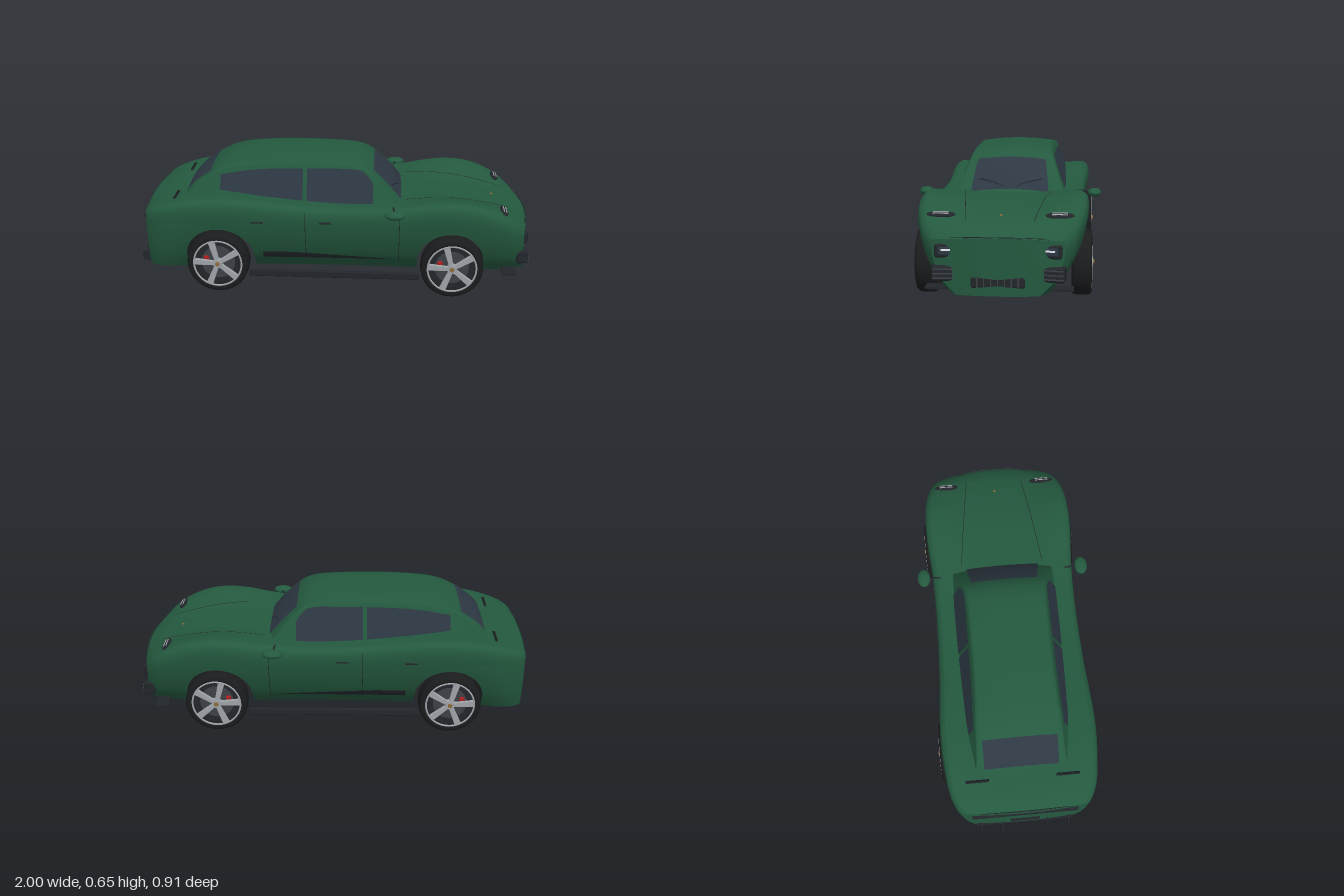
import * as THREE from 'three';
import { RoundedBoxGeometry } from 'three/addons/geometries/RoundedBoxGeometry.js';

const paint = (color) => new THREE.MeshStandardMaterial({ color, side: THREE.DoubleSide });
const GREEN = paint(0x24593f), DARK = paint(0x22262a), TYRE = paint(0x1b1c1e), GLASS = paint(0x2d3843);
const METAL = paint(0x9fa3a8), DISC = paint(0x3c4146), RED = paint(0xb02020), BRONZE = paint(0x8a6a3a), WHITE = paint(0xe8eef2);

// Smooth curve through [x, value] knots
function spline(p) {
  const n = p.length;
  const m = p.map((_, i) => {
    const a = p[Math.max(i - 1, 0)], b = p[Math.min(i + 1, n - 1)];
    return (b[1] - a[1]) / (b[0] - a[0]);
  });
  return (x) => {
    if (x <= p[0][0]) return p[0][1];
    if (x >= p[n - 1][0]) return p[n - 1][1];
    let i = 0;
    while (x > p[i + 1][0]) i++;
    const h = p[i + 1][0] - p[i][0], t = (x - p[i][0]) / h, t2 = t * t, t3 = t2 * t;
    return (2 * t3 - 3 * t2 + 1) * p[i][1] + (t3 - 2 * t2 + t) * h * m[i]
      + (3 * t2 - 2 * t3) * p[i + 1][1] + (t3 - t2) * h * m[i + 1];
  };
}

// Body curves along x: half width, shoulder height, centre height
const width = spline([[-.955, .31], [-.93, .335], [-.85, .365], [-.7, .385], [-.55, .392], [-.4, .386], [-.2, .375], [0, .37],
  [.2, .37], [.36, .376], [.5, .388], [.6, .392], [.7, .39], [.8, .382], [.9, .362], [.96, .335], [.995, .295]]);
const shoulder = spline([[-.955, .40], [-.93, .42], [-.85, .448], [-.7, .482], [-.55, .492], [-.4, .485], [-.2, .463], [0, .45],
  [.2, .45], [.36, .463], [.5, .485], [.6, .492], [.7, .484], [.8, .46], [.9, .42], [.96, .375], [.995, .335]]);
const centre = spline([[-.955, .41], [-.85, .446], [-.6, .47], [-.3, .465], [.1, .45], [.4, .45], [.6, .447], [.8, .42],
  [.9, .396], [.96, .368], [.995, .345]]);
const flank = spline([[0, .62], [.1, .71], [.25, .82], [.5, .93], [.75, .992], [.88, 1], [.96, .975], [1, .92]]);
const FLOOR = .09, AXLE = .163, ARCH = .172, WHEELS = [-.57, .605];

const bend = (x, z) => x - .35 * z * z * THREE.MathUtils.smoothstep(x, .65, 1)
  + .1 * z * z * THREE.MathUtils.smoothstep(-x, .8, .95);
function sideZ(x, y) {
  const f = flank((y - FLOOR) / (shoulder(x) - FLOOR));
  const tail = THREE.MathUtils.smoothstep(-x, .55, .95) * .55;
  return width(x) * (f + (1 - f) * tail * (y < .35 ? 1 : 0.2));
}
const topY = (x, z) => {
  const k = Math.min(Math.abs(z) / (.92 * width(x)), 1);
  return centre(x) + (shoulder(x) - centre(x)) * THREE.MathUtils.smoothstep(k, .25, 1);
};

// Cabin curves
const roof = spline([[-.78, .44], [-.74, .495], [-.7, .535], [-.6, .602], [-.5, .638], [-.35, .655], [-.2, .66], [0, .656],
  [.1, .647], [.16, .63], [.21, .597], [.28, .53], [.34, .463], [.37, .425]]);
const cabinZ = (x, y) => (.267 - .07 * (y - .45) / .195) * (1 - .14 * THREE.MathUtils.smoothstep(-x, .5, .8));
const roofY = (x, z) => roof(x) - .016 * (z / .2) ** 2;

// Grid surface from rows of points
function surface(rows) {
  const n = rows[0].length, idx = [];
  for (let i = 0; i < rows.length - 1; i++) for (let j = 0; j < n - 1; j++) {
    const a = i * n + j, b = a + n;
    idx.push(a, a + 1, b, b, a + 1, b + 1);
  }
  const g = new THREE.BufferGeometry();
  g.setAttribute('position', new THREE.Float32BufferAttribute(rows.flat(2), 3));
  g.setIndex(idx);
  g.computeVertexNormals();
  return g;
}
const range = (a, b, n) => Array.from({ length: n + 1 }, (_, i) => a + (b - a) * i / n);
const grid = (us, vs, fn) => surface(us.map((u) => vs.map((v) => fn(u, v))));

export function createModel() {
  const car = new THREE.Group();
  car.name = 'car';
  const add = (name, geo, mat, x = 0, y = 0, z = 0, parent = car) => {
    const m = new THREE.Mesh(geo, mat);
    m.name = name;
    m.position.set(x, y, z);
    parent.add(m);
    return m;
  };
  const tube = (name, pts, r, mat = DARK) => add(name, new THREE.TubeGeometry(
    new THREE.CatmullRomCurve3(pts.map((p) => new THREE.Vector3(...p))), 24, r, 6), mat);

  // Stations along the body, split into floor sections and wheel arches
  const flat = (a, b, n) => range(a, b, n).map((x) => [x, FLOOR]);
  const arch = (c) => [[c - ARCH, FLOOR], ...range(Math.PI, 0, 24).map((t) =>
    [c + ARCH * Math.cos(t), AXLE + ARCH * Math.sin(t)]), [c + ARCH, FLOOR]];
  const [rear, front] = WHEELS;
  const sections = [flat(-.955, rear - ARCH, 14), arch(rear), flat(rear + ARCH, front - ARCH, 30),
    arch(front), flat(front + ARCH, .995, 18)];

  // Shell: one wrap from the right sill over the top to the left sill
  add('bodyShell', surface(sections.flat().map(([x, yb]) => range(-1, 1, 80).map((v) => {
    const a = Math.abs(v), s = Math.sign(v), S = shoulder(x);
    let y, z;
    if (a < .4) {
      z = s * .92 * width(x) * a / .4;
      y = topY(x, z);
    } else {
      y = yb + (S - yb) * (1 - ((a - .4) / .6) ** 1.4);
      z = s * sideZ(x, y);
    }
    return [bend(x, z), y, z];
  }))), GREEN);
  sections.forEach((st, i) => add(i % 2 ? 'wheelArch' : 'underside', surface(st.map(([x, y]) =>
    range(1, -1, 12).map((v) => { const z = v * sideZ(x, y); return [bend(x, z), y, z]; }))), i % 2 ? DARK : GREEN));
  for (const [name, x, d] of [['nosePanel', .995, 1], ['tailPanel', -.955, -1]])
    add(name, grid(range(0, 1, 16), range(d, -d, 20), (t, v) => {
      const y0 = FLOOR + (shoulder(x) - FLOOR) * t, z = v * sideZ(x, y0);
      return [bend(x, z) + d * .005 * (1 - v * v), y0 + t ** 8 * (topY(x, z) - shoulder(x)), z];
    }), GREEN);

  // Cabin
  add('cabin', grid(range(-.78, .37, 70), range(-1, 1, 60), (x, v) => {
    const a = Math.abs(v), s = Math.sign(v), zr = cabinZ(x, roof(x) - .014);
    const z = a < .6 ? zr * a / .6 : 0;
    if (a < .6) return [x, roofY(x, z), s * z];
    const y = THREE.MathUtils.lerp(roofY(x, zr), Math.min(.41, roof(x) - .02), (a - .6) / .4);
    return [x, y, s * cabinZ(x, y)];
  }), GREEN);
  add('windscreen', grid(range(.2, .342, 12), range(-1, 1, 16), (x, v) => {
    const z = v * (.172 + .15 * (x - .2));
    return [x + .004, roofY(x, z) + .004, z];
  }), GLASS);
  add('rearWindow', grid(range(-.745, -.622, 12), range(-1, 1, 16), (x, v) =>
    [x - .004, roofY(x, v * .185) + .004, v * .185]), GLASS);
  const sill = spline([[-.57, .502], [-.4, .482], [-.2, .458], [0, .443], [.21, .432]]);
  const header = spline([[-.57, .575], [-.45, .596], [-.3, .608], [0, .613], [.14, .607], [.18, .578], [.21, .535]]);

  for (const s of [1, -1]) {
    // Side glass
    for (const [name, a, b] of [['rearSideWindow', -.57, -.15], ['frontSideWindow', -.13, .205]])
      add(name, grid(range(a, b, 20), range(0, 1, 6), (x, t) => {
        const y = THREE.MathUtils.lerp(sill(x), Math.min(header(x), roof(x) - .022), t);
        return [x, y, s * (cabinZ(x, y) + .004)];
      }), GLASS);

    // Flank trim, door seams, handles and side rail
    add('flankTrim', grid(range(-.35, .3, 20), range(0, 1, 4), (x, t) => {
      const y = .158 + t * .04 * (1 - Math.max(0, x + .2) / .55);
      return [x, y, s * (sideZ(x, y) + .004)];
    }), DARK);
    for (const x0 of [-.13, .34]) tube('doorSeam', range(.43, .14, 10).map((y) => [x0, y, s * sideZ(x0, y)]), .0015);
    for (const x of [-.37, -.03]) add('doorHandle', new RoundedBoxGeometry(.06, .008, .012, 2, .003), DARK, x, .38, s * sideZ(x, .38));
    add('sideRail', new RoundedBoxGeometry(.86, .036, .02, 2, .006), DARK, .015, .11, s * .385);
    add('noseCanard', new THREE.BoxGeometry(.07, .01, .13), DARK, .9, .105, s * .265);
    tube('bonnetSeam', range(.37, .9, 12).map((x) => {
      const z = s * (.215 - .12 * (x - .37));
      return [bend(x, z), topY(x, z), z];
    }), .0015);

    // Door mirror
    add('mirror', new THREE.SphereGeometry(1, 20, 14), GREEN, .315, .448, s * .42).scale.set(.05, .021, .034);
    tube('mirrorStalk', [[.3, .43, s * .27], [.308, .455, s * .34], [.315, .448, s * .4]], .005);

    // Upper lamp: oval lens with light strips, following the wing
    const lamp = new THREE.Group();
    lamp.name = 'upperLamp';
    lamp.position.set(.875 - .015, topY(.885, .265) + .003, s * .265);
    lamp.rotation.z = -.42;
    car.add(lamp);
    add('lampLens', new THREE.SphereGeometry(1, 20, 12), DARK, 0, 0, 0, lamp).scale.set(.022, .01, .066);
    for (const dx of [-.006, .007]) add('lampStrip', new THREE.BoxGeometry(.005, .004, .07), METAL, dx, .009, 0, lamp);

    // Square lamp and side intake on the nose
    const face = (name, y, z, h, w, mat, x) => {
      const m = add(name, new RoundedBoxGeometry(.06, h, w, 3, .012), mat, x, y, s * z);
      m.rotation.y = s * .16;
      return m;
    };
    face('squareLamp', .285, .228, .062, .108, DARK, .952);
    face('squareLampInset', .285, .228, .046, .085, GLASS, .955);
    add('squareLampBar', new THREE.BoxGeometry(.008, .008, .042), WHITE, .984, .29, s * .228).rotation.y = s * .16;
    face('sideIntake', .185, .217, .07, .156, DARK, .955);
    for (const y of [.165, .185, .205])
      add('intakeSlat', new THREE.BoxGeometry(.006, .006, .14), DISC, .984, y, s * .217).rotation.y = s * .16;

    // Wiper and rear deck vent
    tube('wiper', [[.335, .474, s * .025], [.315, .496, s * .09], [.3, .508, s * .155]], .003);
    const vent = add('deckVent', new THREE.CylinderGeometry(.012, .012, .115, 3), DARK, -.8, topY(-.8, .225) - .001, s * .225);
    vent.rotation.x = Math.PI / 2;
    vent.scale.x = .7;
  }

  // Centre grille, badge and bonnet shut line
  add('centreGrille', new RoundedBoxGeometry(.05, .052, .24, 3, .012), DARK, .975, .15, 0);
  for (const z of range(-.09, .09, 6)) add('grilleBar', new THREE.BoxGeometry(.004, .042, .005), DISC, 1, .15, z);
  add('badge', new THREE.SphereGeometry(.007, 10, 8), BRONZE, .82, .416, 0);
  tube('bonnetFrontSeam', range(-.21, .21, 12).map((z) => [bend(.99, z) + .002, topY(.99, z), z]), .0015);

  // Tail: light bar, plate and diffuser fins
  add('tailLightBar', new RoundedBoxGeometry(.022, .024, .53, 2, .008), DARK, -.955, .355, 0);
  add('tailPlate', new RoundedBoxGeometry(.016, .05, .15, 2, .006), DARK, -.958, .205, 0);
  add('diffuser', new THREE.BoxGeometry(.04, .03, .5), DARK, -.942, .108, 0);
  for (const z of [-.225, -.115, .115, .225]) add('diffuserFin', new THREE.BoxGeometry(.065, .05, .008), DARK, -.967, .117, z);

  // Wheels
  const tyre = new THREE.LatheGeometry([[.118, .04], [.128, .047], [.146, .046], [.155, .034], [.157, 0], [.155, -.034],
    [.146, -.047], [.118, -.047]].map((p) => new THREE.Vector2(...p)), 48);
  const spoke = new THREE.Shape([[-.009, .012], [-.015, .122], [.015, .122], [.009, .012]].map((p) => new THREE.Vector2(...p)));
  const spokeGeo = new THREE.ExtrudeGeometry(spoke, { depth: .012, bevelEnabled: true, bevelSize: .002, bevelThickness: .002, bevelSegments: 1 });
  for (const x of WHEELS) for (const s of [1, -1]) {
    const w = new THREE.Group();
    w.name = 'wheel';
    w.position.set(x, AXLE, s * .362);
    w.scale.z = s;
    car.add(w);
    add('tyre', tyre, TYRE, 0, 0, 0, w).rotation.x = Math.PI / 2;
    add('rimBarrel', new THREE.CylinderGeometry(.12, .12, .06, 40), DARK, 0, 0, -.01, w).rotation.x = Math.PI / 2;
    add('brakeDisc', new THREE.CylinderGeometry(.085, .085, .008, 36), DISC, 0, 0, .022, w).rotation.x = Math.PI / 2;
    add('rimLip', new THREE.TorusGeometry(.121, .005, 8, 48), METAL, 0, 0, .044, w);
    add('brakeCaliper', new RoundedBoxGeometry(.026, .05, .014, 2, .005), RED, -.06, .01, .026, w);
    for (let i = 0; i < 5; i++) add('spoke', spokeGeo, METAL, 0, 0, .034, w).rotation.z = i * Math.PI * 2 / 5 + .25;
    add('hub', new THREE.CylinderGeometry(.022, .027, .024, 20), METAL, 0, 0, .04, w).rotation.x = Math.PI / 2;
    add('hubCap', new THREE.CylinderGeometry(.01, .012, .008, 16), BRONZE, 0, 0, .055, w).rotation.x = Math.PI / 2;
  }
  return car;
}
